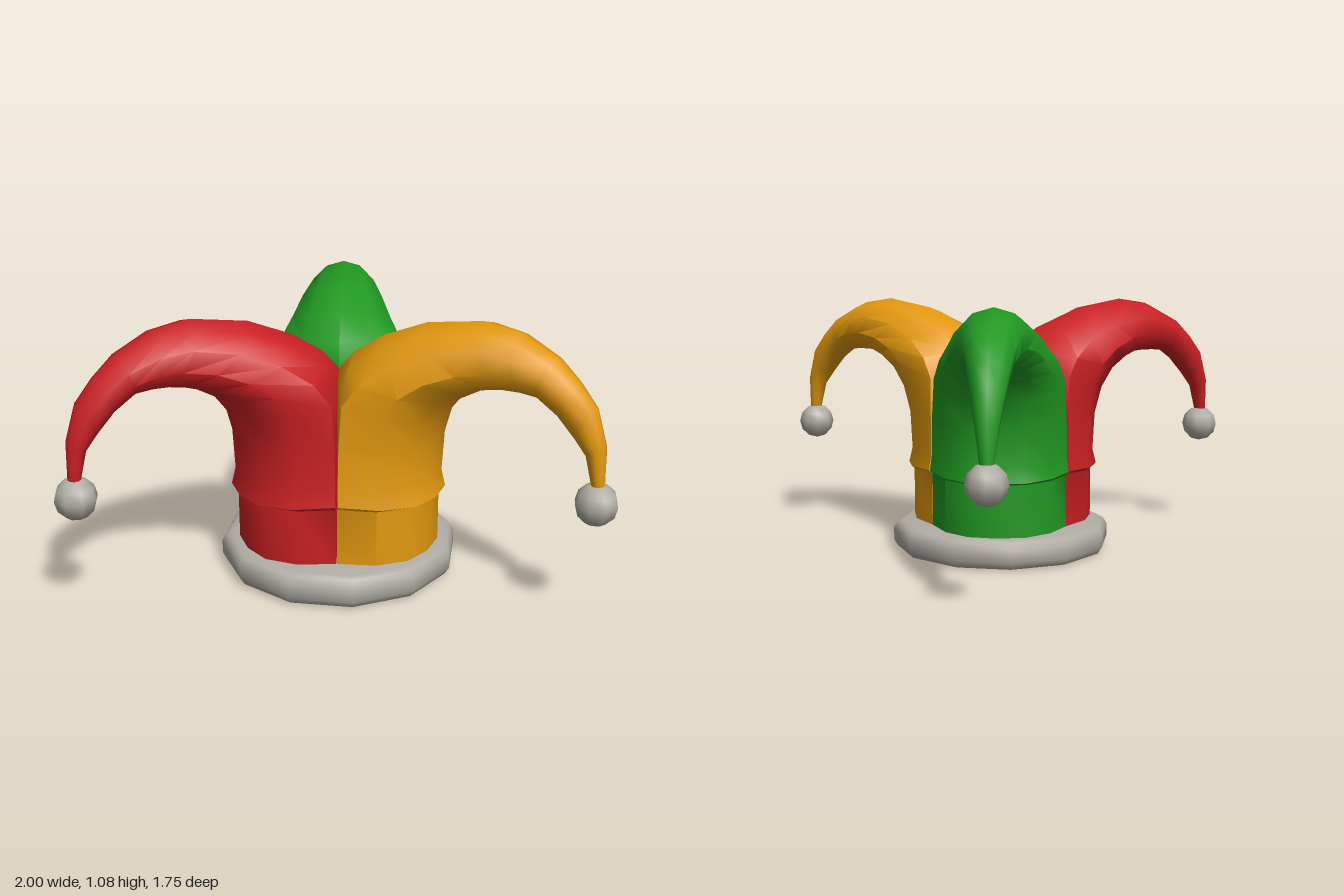
import * as THREE from 'three';
import { mergeVertices, toCreasedNormals } from 'three/addons/utils/BufferGeometryUtils.js';

const mat = (name, color) => {
  const m = new THREE.MeshStandardMaterial({ color });
  m.name = name;
  return m;
};

// Horn sections: inner/crest point (r, y), outer/underside point (r, y), half width, roundness
const SECTIONS = [
  [0, 0.10, 0.405, 0.10, 0.285, 0],
  [0, 0.35, 0.405, 0.345, 0.285, 0],
  [0, 0.37, 0.432, 0.355, 0.295, 0],
  [0, 0.44, 0.415, 0.42, 0.287, 0],
  [0, 0.62, 0.425, 0.58, 0.285, 0.05],
  [0, 0.80, 0.46, 0.69, 0.28, 0.3],
  [0.07, 0.88, 0.52, 0.77, 0.255, 0.6],
  [0.20, 0.965, 0.60, 0.815, 0.21, 0.9],
  [0.38, 1.04, 0.67, 0.835, 0.172, 1],
  [0.60, 1.076, 0.73, 0.84, 0.137, 1],
  [0.74, 1.055, 0.785, 0.84, 0.118, 1],
  [0.885, 0.985, 0.835, 0.835, 0.095, 1],
  [0.97, 0.91, 0.91, 0.78, 0.078, 1],
  [1.04, 0.83, 0.97, 0.71, 0.063, 1],
  [1.085, 0.69, 1.015, 0.655, 0.045, 1],
  [1.09, 0.53, 1.045, 0.53, 0.025, 1],
];

// Half outline of a 120 degree wedge (u along the section, v across it)
const WEDGE = [[0, 0], [0.2, 0.5], [0.41, 1], [0.74, 0.77], [0.95, 0.42], [1, 0]];
const N = 10;

function hornGeometry() {
  const pos = [], idx = [];
  for (const [ar, ay, br, by, w, round] of SECTIONS) {
    for (let j = 0; j < N; j++) {
      const k = j <= 5 ? j : N - j;
      const side = j <= 5 ? 1 : -1;
      const a = (k / 5) * Math.PI;
      const u = THREE.MathUtils.lerp(WEDGE[k][0], (1 - Math.cos(a)) / 2, round);
      const v = THREE.MathUtils.lerp(WEDGE[k][1], Math.sin(a), round);
      const r = ar + (br - ar) * u;
      // Keep each horn inside its own third of the hat
      const x = side * Math.min(v * w, r * Math.sqrt(3));
      pos.push(x, ay + (by - ay) * u, -r);
    }
  }
  for (let i = 0; i < SECTIONS.length - 1; i++) {
    for (let j = 0; j < N; j++) {
      const a = i * N + j, b = i * N + (j + 1) % N;
      idx.push(a, b, a + N, b, b + N, a + N);
    }
  }
  const g = new THREE.BufferGeometry();
  g.setAttribute('position', new THREE.Float32BufferAttribute(pos, 3));
  g.setIndex(idx);
  return toCreasedNormals(g, 0.8);
}

export function createModel() {
  const group = new THREE.Group();
  group.name = 'jesterHat';
  const grey = mat('grey', 0xb0aca5);
  const colours = [
    ['back', mat('green', 0x219822), 0],
    ['left', mat('orange', 0xe2980f), -2 * Math.PI / 3],
    ['right', mat('red', 0xcb2023), 2 * Math.PI / 3],
  ];

  const hat = new THREE.Group();
  hat.name = 'hat';
  hat.position.z = 0.266;
  group.add(hat);

  // Rounded twelve-sided brim
  const profile = [
    [0, 0], [0.43, 0], [0.455, 0.008], [0.472, 0.035],
    [0.472, 0.09], [0.455, 0.117], [0.43, 0.125], [0, 0.125],
  ].map(([x, y]) => new THREE.Vector2(x, y));
  const lathe = new THREE.LatheGeometry(profile, 12, THREE.MathUtils.degToRad(8));
  lathe.deleteAttribute('normal');
  lathe.deleteAttribute('uv');
  const brim = new THREE.Mesh(toCreasedNormals(mergeVertices(lathe), 0.9), grey);
  brim.name = 'brim';
  hat.add(brim);

  // Three curved horns, each ending in a bell
  const hornGeo = hornGeometry();
  const bellGeo = new THREE.SphereGeometry(0.08, 8, 6);
  for (const [name, material, angle] of colours) {
    const arm = new THREE.Group();
    arm.name = name + 'Arm';
    arm.rotation.y = angle;
    const horn = new THREE.Mesh(hornGeo, material);
    horn.name = name + 'Horn';
    const bell = new THREE.Mesh(bellGeo, grey);
    bell.name = name + 'Bell';
    bell.position.set(0, 0.477, -1.064);
    arm.add(horn, bell);
    hat.add(arm);
  }
  return group;
}
